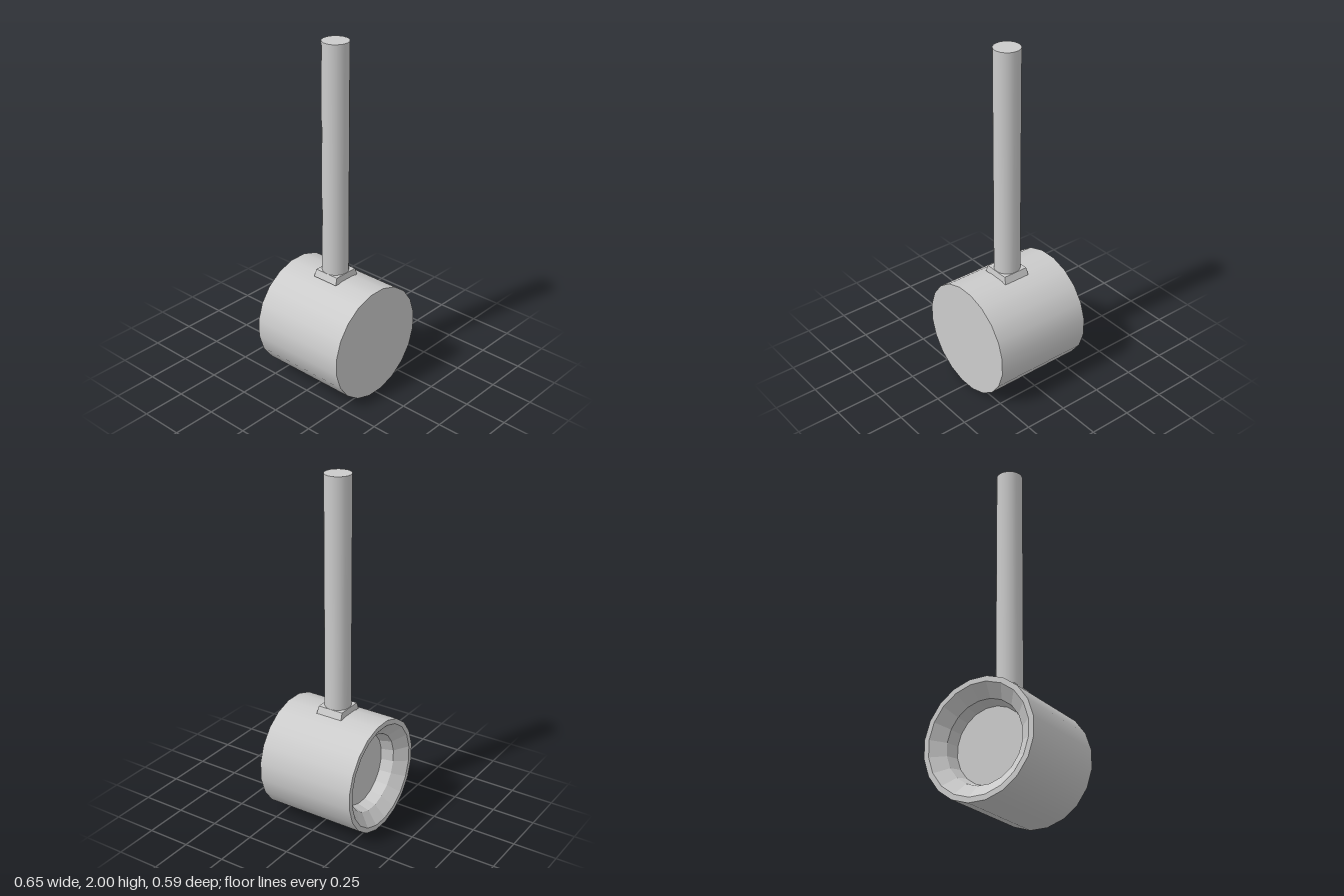
import * as THREE from 'three';

const SIDES = 20;
const HALF = 0.294;            // half the drum's depth
const RADIUS = 0.329;
const CENTRE_Y = 0.325;

const grey = (options = {}) => new THREE.MeshStandardMaterial({ color: 0xcccccc, ...options });

export function createModel() {
  const model = new THREE.Group();
  const add = (parent, name, geometry, material) => {
    const mesh = new THREE.Mesh(geometry, material);
    mesh.name = name;
    parent.add(mesh);
    return mesh;
  };

  // Drum: built around y, then laid along z with a flat facet at the bottom
  const drum = new THREE.Group();
  drum.name = 'drum';
  drum.rotation.x = Math.PI / 2;
  drum.position.y = CENTRE_Y;
  model.add(drum);
  const turn = Math.PI / SIDES;

  add(drum, 'drumWall', new THREE.CylinderGeometry(RADIUS, RADIUS, HALF * 2, SIDES, 1, true, turn), grey());

  const front = add(drum, 'drumFront', new THREE.CircleGeometry(RADIUS, SIDES, turn), grey());
  front.rotation.x = -Math.PI / 2;
  front.position.y = HALF;

  // Back rim, sloped lip, short inner wall and recessed disc
  const recess = [
    [0, -HALF + 0.13],
    [0.21, -HALF + 0.13],
    [0.228, -HALF + 0.06],
    [0.3, -HALF],
    [RADIUS, -HALF],
  ].map(([r, y]) => new THREE.Vector2(r, y));
  // Lathe facing is reversed by running the profile inward to outward
  add(drum, 'drumRecess', new THREE.LatheGeometry(recess, SIDES, turn),
    grey({ flatShading: true, side: THREE.DoubleSide }));

  // Collar: a box whose top is narrower than its foot
  const collar = new THREE.BoxGeometry(1, 1, 1);
  const p = collar.attributes.position;
  for (let i = 0; i < p.count; i++) {
    const top = p.getY(i) > 0;
    const x = p.getX(i) > 0 ? (top ? 0.07 : 0.085) : (top ? -0.079 : -0.093);
    const z = p.getZ(i) > 0 ? (top ? 0.074 : 0.079) : (top ? -0.078 : -0.081);
    p.setXYZ(i, x, top ? 0.685 : 0.645, z);
  }
  add(model, 'collar', collar, grey({ flatShading: true }));

  // Handle
  const handle = add(model, 'handle', new THREE.CylinderGeometry(0.074, 0.074, 1.32, SIDES, 1, false, turn), grey());
  handle.position.set(-0.005, 1.34, -0.002);

  return model;
}
